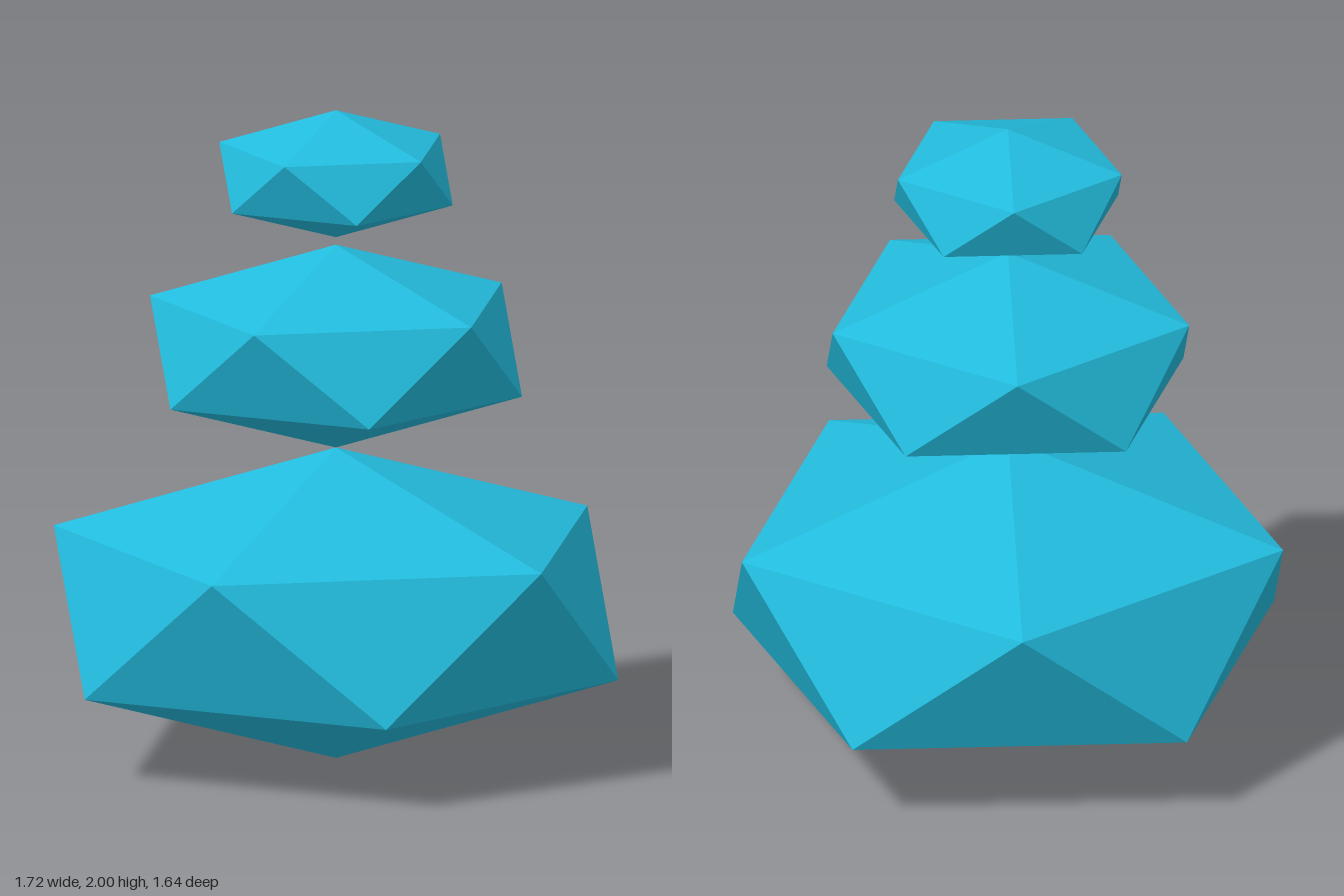
import * as THREE from 'three';

export function createModel() {
  const model = new THREE.Group();
  const material = new THREE.MeshStandardMaterial({ color: 0x22bbdd, flatShading: true });

  // Icosahedron turned to stand on a corner, with an upper-ring corner on +x
  const stoneGeometry = (radius, halfHeight) =>
    new THREE.IcosahedronGeometry(1, 0)
      .rotateZ(-Math.atan(2 / (1 + Math.sqrt(5))))
      .scale(radius, halfHeight, radius);

  // Stack of squashed stones: name, radius, half height, centre height
  const stones = [
    ['bottomStone', 0.962, 0.479, 0.48],
    ['middleStone', 0.634, 0.313, 1.272],
    ['topStone', 0.398, 0.196, 1.804],
  ];
  for (const [name, radius, halfHeight, y] of stones) {
    const stone = new THREE.Mesh(stoneGeometry(radius, halfHeight), material);
    stone.name = name;
    stone.position.y = y;
    model.add(stone);
  }
  return model;
}
